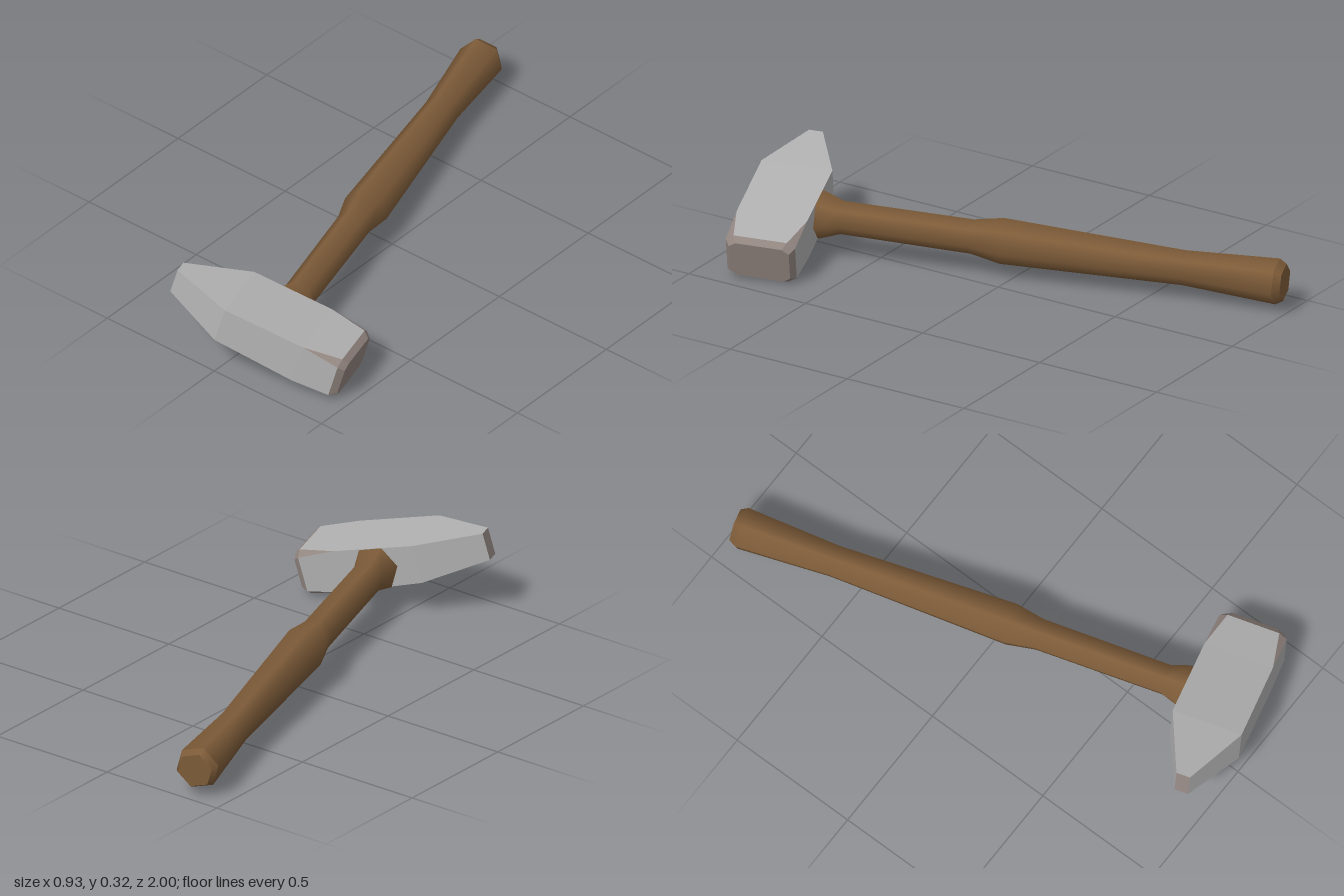
import * as THREE from 'three';

const steel = new THREE.MeshStandardMaterial({ color: 0xb0b0b0, name: 'steel' });
const wornSteel = new THREE.MeshStandardMaterial({ color: 0x928580, name: 'wornSteel' });
const wood = new THREE.MeshStandardMaterial({ color: 0x7e5c39, name: 'wood' });

// Octagonal cross-section at x: half height, half depth and corner cuts
function section([x, hy, hz, cy, cz]) {
  return [
    [hy - cy, hz], [cy - hy, hz], [-hy, hz - cz], [-hy, cz - hz],
    [cy - hy, -hz], [hy - cy, -hz], [hy, cz - hz], [hy, hz - cz],
  ].map(([y, z]) => [x, y, z + 0.025]);
}

// Head lofted from the thin peen to the striking face
function headGeometry() {
  const loops = [
    [-0.4, 0.052, 0.026, 0, 0],
    [-0.165, 0.073, 0.133, 0, 0],
    [0.15, 0.081, 0.132, 0, 0],
    [0.295, 0.087, 0.13, 0.02, 0.03],
    [0.32, 0.072, 0.113, 0.018, 0.026],
  ].map(section);
  const parts = [[], []]; // plain sides, worn faces
  for (let s = 0; s < loops.length - 1; s++) {
    const p = loops[s], q = loops[s + 1];
    for (let i = 0; i < 8; i++) {
      const j = (i + 1) % 8;
      const worn = s === 3 || (s === 2 && i % 2 === 1);
      if (i % 2 === 1 && s < 2) continue; // no corner cut here
      parts[worn ? 1 : 0].push(...p[i], ...p[j], ...q[i], ...p[j], ...q[j], ...q[i]);
    }
  }
  const peen = loops[0], face = loops[4];
  for (let i = 1; i < 7; i++) {
    parts[1].push(...peen[0], ...peen[i + 1], ...peen[i]);
    parts[1].push(...face[0], ...face[i], ...face[i + 1]);
  }
  const g = new THREE.BufferGeometry();
  g.setAttribute('position', new THREE.Float32BufferAttribute([...parts[0], ...parts[1]], 3));
  g.addGroup(0, parts[0].length / 3, 0);
  g.addGroup(parts[0].length / 3, parts[1].length / 3, 1);
  g.computeVertexNormals();
  return g;
}

// Six-sided turned part along z, with corners pointing to the sides
function turned(name, profile) {
  const points = profile.map(([r, z]) => new THREE.Vector2(r, z));
  const g = new THREE.LatheGeometry(points, 6, Math.PI / 2);
  g.rotateX(Math.PI / 2);
  const mesh = new THREE.Mesh(g, wood);
  mesh.name = name;
  return mesh;
}

export function createModel() {
  const hammer = new THREE.Group();
  hammer.name = 'hammer';

  const head = new THREE.Mesh(headGeometry(), [steel, wornSteel]);
  head.name = 'head';

  const handle = new THREE.Group();
  handle.name = 'handle';
  handle.add(
    turned('grip', [
      [0.084, -1.825], [0.064, -1.472], [0.084, -0.79], [0.063, -0.68],
      [0.061, -0.19], [0.088, -0.115], [0.075, 0],
    ]),
    turned('buttBevel', [[0.068, -1.852], [0.084, -1.825]]),
    turned('buttEnd', [[0, -1.852], [0.068, -1.852]]),
  );
  hammer.add(head, handle);

  // Lay the hammer on its side, tilted and turned
  const along = new THREE.Vector3(0.277, 0.03, 0.96).normalize();
  const up = new THREE.Vector3().crossVectors(along, new THREE.Vector3(0.929, -0.26, -0.26)).normalize();
  const across = new THREE.Vector3().crossVectors(up, along);
  hammer.quaternion.setFromRotationMatrix(new THREE.Matrix4().makeBasis(across, up, along));
  hammer.position.set(0.13, 0.172, 0.8);

  const model = new THREE.Group();
  model.add(hammer);
  return model;
}
